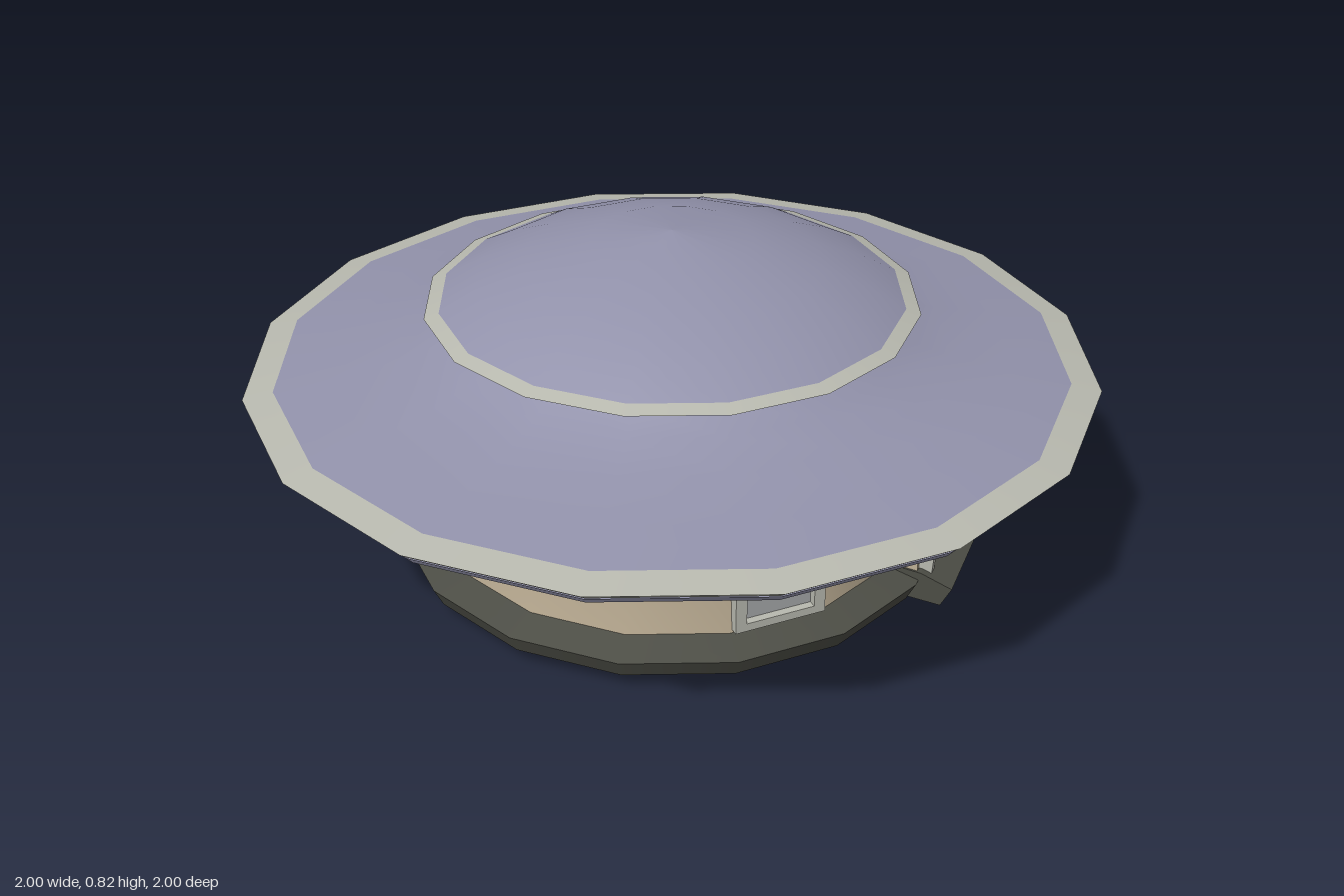
import * as THREE from 'three';

const paint = (name, color, extra = {}) => {
  const m = new THREE.MeshStandardMaterial({ color, ...extra });
  m.name = name;
  return m;
};

const SIDES = 16;
const STEP = Math.PI / 8;

export function createModel() {
  const group = new THREE.Group();
  group.name = 'roundBuilding';
  const roof = paint('lavender roof', 0x9292ab, { side: THREE.DoubleSide });
  const wall = paint('beige wall', 0xbfb096);
  const trim = paint('pale grey trim', 0xb8b9af, { side: THREE.DoubleSide });
  const dark = paint('dark base', 0x4c4d45);
  const pane = paint('grey pane', 0xa5a7a8);

  const add = (parent, name, geometry, material) => {
    const mesh = new THREE.Mesh(geometry, material);
    mesh.name = name;
    parent.add(mesh);
    return mesh;
  };
  // Turned part: [radius, height] pairs, from the underside outward and up
  const turned = (name, material, points) =>
    add(group, name, new THREE.LatheGeometry(points.map(p => new THREE.Vector2(...p)), SIDES), material);
  const box = (parent, name, material, w, h, d, x, y, z) =>
    add(parent, name, new THREE.BoxGeometry(w, h, d), material).position.set(x, y, z);
  // Side profile of [outward, height] pairs, extruded across a width
  const sideways = (parent, name, material, points, width) => {
    const shape = new THREE.Shape(points.map(p => new THREE.Vector2(...p)));
    const g = new THREE.ExtrudeGeometry(shape, { depth: width, bevelEnabled: false });
    g.translate(0, 0, -width / 2).rotateY(-Math.PI / 2);
    add(parent, name, g, material);
  };

  // Base
  turned('underside', roof, [[0, 0.003], [0.3, 0.006], [0.52, 0.02], [0.645, 0.045]]);
  turned('baseRim', dark, [[0.645, 0.045], [0.668, 0.092]]);
  turned('baseLedge', dark, [[0.668, 0.092], [0.56, 0.122]]);

  // Drum wall with its thin band
  turned('wall', wall, [[0.59, 0.11], [0.582, 0.2], [0.58, 0.32], [0.588, 0.38], [0.607, 0.45]]);
  turned('wallBand', roof, [[0.58, 0.318], [0.587, 0.319], [0.588, 0.334], [0.58, 0.335]]);

  // Wide lower roof
  turned('eaveUnderside', roof, [[0.59, 0.44], [0.8, 0.448], [0.965, 0.463]]);
  turned('eaveLip', roof, [[0.965, 0.463], [0.975, 0.478]]);
  turned('eaveEdge', trim, [[0.97, 0.476], [1, 0.5]]);
  turned('eaveTrim', trim, [[1, 0.5], [0.93, 0.513]]);
  turned('lowerRoof', roof, [[0.935, 0.511], [0.8, 0.533], [0.65, 0.558], [0.55, 0.592], [0.48, 0.625], [0.465, 0.638]]);

  // Upper dome
  turned('domeUnderside', roof, [[0.465, 0.638], [0.555, 0.65]]);
  turned('domeEdge', trim, [[0.55, 0.648], [0.578, 0.66]]);
  turned('domeTrim', trim, [[0.578, 0.66], [0.543, 0.671]]);
  turned('dome', roof, [[0.545, 0.67], [0.46, 0.715], [0.35, 0.757], [0.19, 0.804], [0, 0.826]]);

  // Four windows, each filling one facet
  const frameShape = new THREE.Shape();
  frameShape.moveTo(-0.11, 0.122).lineTo(0.11, 0.122).lineTo(0.11, 0.312).lineTo(-0.11, 0.312).closePath();
  const hole = new THREE.Path();
  hole.moveTo(-0.083, 0.142).lineTo(-0.083, 0.29).lineTo(0.083, 0.29).lineTo(0.083, 0.142).closePath();
  frameShape.holes.push(hole);
  const frame = new THREE.ExtrudeGeometry(frameShape, { depth: 0.04, bevelEnabled: false });
  for (let i = 0; i < 4; i++) {
    const win = new THREE.Group();
    win.name = 'window';
    win.rotation.y = (i * 4 - 0.5) * STEP;
    add(win, 'windowFrame', frame, trim).position.z = 0.557;
    box(win, 'windowPane', pane, 0.17, 0.152, 0.008, 0, 0.216, 0.574);
    group.add(win);
  }

  // Entrance porch
  const porch = new THREE.Group();
  porch.name = 'entrance';
  porch.rotation.y = 1.5 * STEP;
  sideways(porch, 'porchHood', wall, [[0.54, 0.08], [0.65, 0.08], [0.65, 0.275], [0.6, 0.312], [0.54, 0.312]], 0.21);
  sideways(porch, 'lintel', trim, [[0.64, 0.24], [0.69, 0.24], [0.705, 0.27], [0.64, 0.275]], 0.19);
  for (const s of [-1, 1])
    sideways(porch, 'doorPost', trim, [[0.64, 0.09], [0.68, 0.09], [0.69, 0.245], [0.64, 0.245]], 0.025);
  porch.children.filter(m => m.name === 'doorPost').forEach((m, i) => { m.position.x = i ? 0.078 : -0.078; });
  box(porch, 'door', pane, 0.135, 0.15, 0.008, 0, 0.168, 0.658);
  sideways(porch, 'ramp', dark, [[0.58, 0.045], [0.71, 0.035], [0.735, 0.085], [0.66, 0.112], [0.58, 0.12]], 0.22);
  group.add(porch);

  return group;
}
